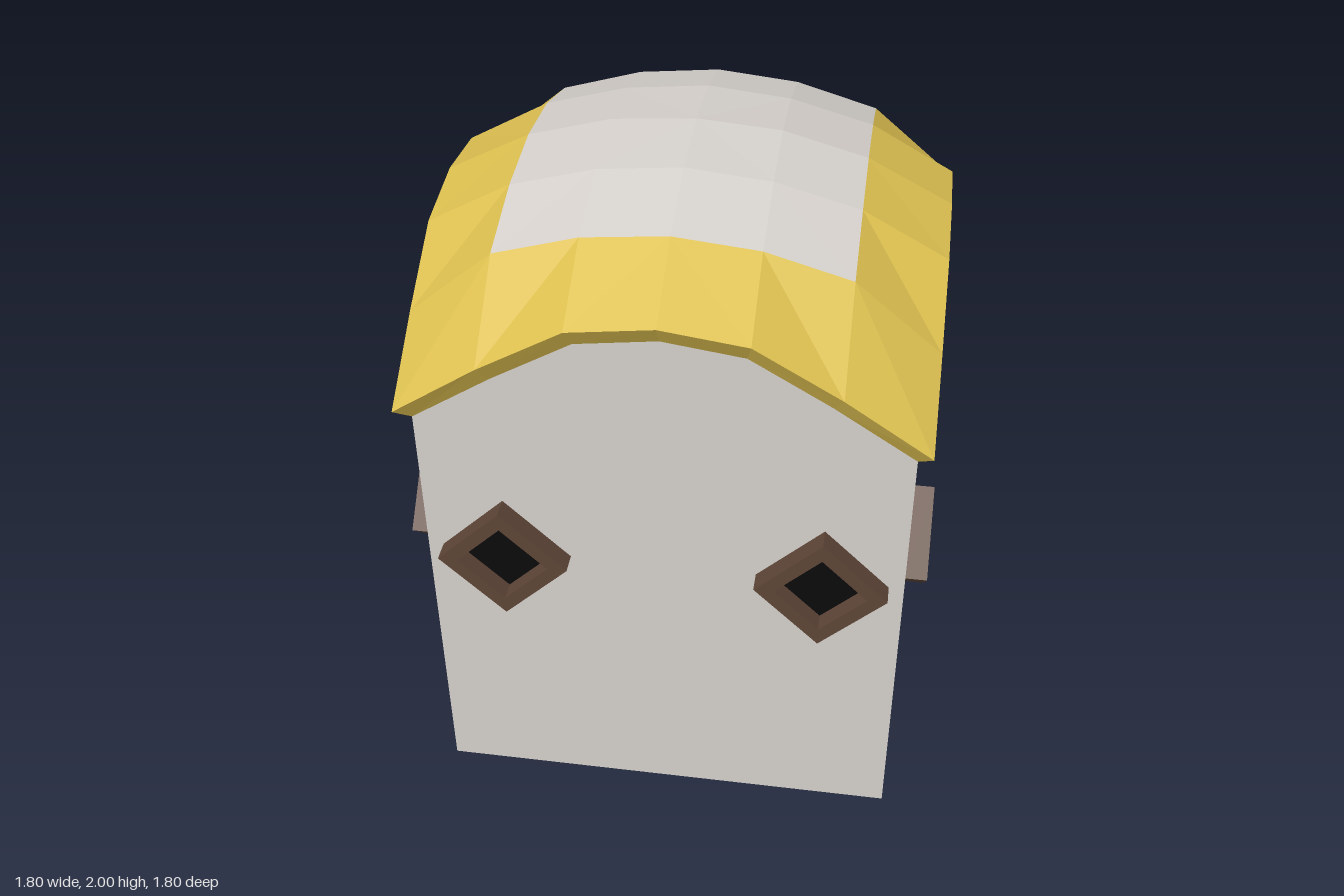
import * as THREE from 'three';

const BODY = 0.694;          // half width of the walls
const ROOF = 0.735;          // half width of the roof
const STEP = ROOF / 3;
// Roof heights by distance from the centre in grid steps
const HEIGHT = [
  [2.0, 1.98, 1.912, 1.783],
  [1.98, 1.955, 1.887, 1.75],
  [1.912, 1.887, 1.815, 1.605],
  [1.783, 1.75, 1.605, 1.437],
];
// Heights of the wall tops, centre to corner
const WALL_TOP = [1.719, 1.687, 1.549, 1.395];

function material(name, color) {
  const m = new THREE.MeshStandardMaterial({ color });
  m.name = name;
  return m;
}

function mesh(name, geometry, mat) {
  const m = new THREE.Mesh(geometry, mat);
  m.name = name;
  return m;
}

// Flat-faced geometry from a list of triangle corners
function facets(points) {
  const g = new THREE.BufferGeometry().setFromPoints(points);
  g.computeVertexNormals();
  return g;
}

const vec2 = (list) => list.map(([x, y]) => new THREE.Vector2(x, y));

export function createModel() {
  const plaster = material('pale plaster', 0xd4cfca);
  const gold = material('golden roof', 0xdcbf50);
  const wood = material('dark wood', 0x5e4537);
  const black = material('black opening', 0x0a0a0a);

  const model = new THREE.Group();
  model.name = 'domedHouse';
  const house = new THREE.Group();
  house.name = 'house';
  house.rotation.y = Math.PI / 12;
  model.add(house);

  // Domed roof: golden border cells around a pale centre
  const point = (i, j) =>
    new THREE.Vector3(i * STEP, HEIGHT[Math.abs(i)][Math.abs(j)], j * STEP);
  const border = [], centre = [];
  for (let i = -3; i < 3; i++) {
    for (let j = -3; j < 3; j++) {
      const a = point(i, j), b = point(i, j + 1), c = point(i + 1, j + 1), d = point(i + 1, j);
      const inner = i >= -2 && i < 2 && j >= -2 && j < 2;
      const radial = (i < 0) === (j < 0);
      (inner ? centre : border).push(...(radial ? [a, b, c, a, c, d] : [a, b, d, b, c, d]));
    }
  }
  house.add(mesh('roofBorder', facets(border), gold));
  house.add(mesh('roofCentre', facets(centre), plaster));

  // Sloping underside of the eaves, one strip per side
  const rim = [];
  const low = (k) => new THREE.Vector3(k * BODY / 3, WALL_TOP[Math.abs(k)], BODY);
  for (let k = -3; k < 3; k++) {
    const a = low(k), b = low(k + 1), c = point(k + 1, 3), d = point(k, 3);
    rim.push(a, b, c, a, c, d);
  }
  const rimGeometry = facets(rim);

  // Wall with an arched top
  const outline = [[-BODY, 0], [BODY, 0]];
  for (let k = 3; k >= -3; k--) outline.push([k * BODY / 3, WALL_TOP[Math.abs(k)]]);
  const wallGeometry = new THREE.ShapeGeometry(new THREE.Shape(vec2(outline)));

  // Framed opening standing out from a wall
  function opening(name, outer, inner, depth) {
    const g = new THREE.Group();
    g.name = name;
    const shape = new THREE.Shape(vec2(outer));
    shape.holes.push(new THREE.Path(vec2(inner)));
    g.add(mesh('frame', new THREE.ExtrudeGeometry(shape, { depth, bevelEnabled: false }), wood));
    const pane = mesh('darkPane', new THREE.ShapeGeometry(new THREE.Shape(vec2(inner))), black);
    pane.position.z = 0.006;
    g.add(pane);
    return g;
  }
  const diamond = (r) => [[r, 0], [0, r], [-r, 0], [0, -r]];
  const hexagon = (w, s, h) => [[w, -s], [w, s], [0, h], [-w, s], [-w, -s], [0, -h]];

  const sides = ['front', 'left', 'back', 'right'];
  sides.forEach((name, n) => {
    const side = new THREE.Group();
    side.name = name + 'Side';
    side.rotation.y = n * Math.PI / 2;
    const wall = mesh('wall', wallGeometry, plaster);
    wall.position.z = BODY;
    side.add(wall, mesh('eaves', rimGeometry, gold));

    // Two diamond windows on every wall
    for (const s of [-1, 1]) {
      const window = opening('diamondWindow', diamond(0.19), diamond(0.133), 0.063);
      window.position.set(s * 0.46, 0.925, BODY);
      side.add(window);
    }

    // Tall six-sided opening on the back, with pale cheeks
    if (name === 'back') {
      const hatch = opening('hexagonOpening', hexagon(0.165, 0.115, 0.335),
        hexagon(0.125, 0.095, 0.26), 0.048);
      for (const s of [-1, 1]) {
        const cheek = mesh('paleCheek', new THREE.BoxGeometry(0.004, 0.226, 0.046), plaster);
        cheek.position.set(s * 0.166, 0, 0.023);
        hatch.add(cheek);
      }
      hatch.position.set(0, 0.5, BODY);
      side.add(hatch);
    }
    house.add(side);
  });

  // Underside of the house
  const floor = mesh('floor', new THREE.PlaneGeometry(2 * BODY, 2 * BODY), plaster);
  floor.rotation.x = Math.PI / 2;
  house.add(floor);

  return model;
}
